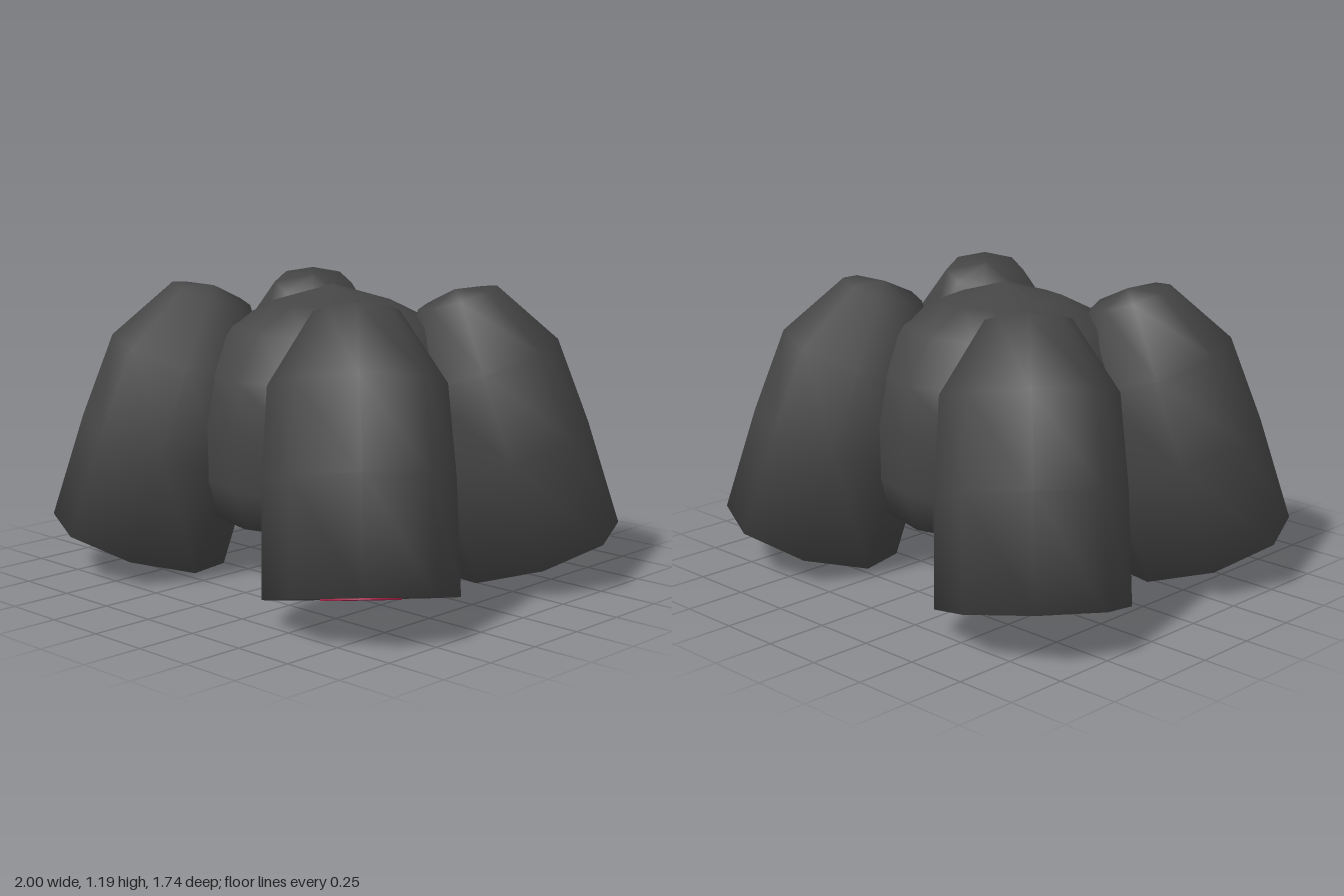
import * as THREE from 'three';

const pts = (list) => list.map(([r, y]) => new THREE.Vector2(r, y));

export function createModel() {
  const group = new THREE.Group();
  const dark = new THREE.MeshStandardMaterial({ color: 0x454545 });
  dark.name = 'charcoal';
  const red = new THREE.MeshStandardMaterial({ color: 0xa8234a });
  red.name = 'crimson';

  // Central drum with a shallow domed top and flat underside
  const body = new THREE.Mesh(new THREE.LatheGeometry(pts([
    [0, 0.26], [0.5, 0.26], [0.55, 0.42], [0.56, 0.65], [0.53, 0.85],
    [0.42, 1.03], [0.24, 1.12], [0, 1.19],
  ]), 12), dark);
  body.name = 'centralBody';
  group.add(body);

  // Eight-sided pod, local origin at the centre of its lower face
  const podGeometry = new THREE.LatheGeometry(pts([
    [0, 0], [0.37, 0], [0.365, 0.44], [0.34, 0.8], [0.165, 1.08], [0, 1.115],
  ]), 8);
  const nozzleGeometry = new THREE.CylinderGeometry(0.155, 0.155, 0.008, 10);
  const up = new THREE.Vector3(0, 1, 0);

  // Four pods leaning in towards the top
  for (const sz of [1, -1]) {
    for (const sx of [1, -1]) {
      const pod = new THREE.Group();
      pod.name = (sz > 0 ? 'front' : 'back') + (sx > 0 ? 'Left' : 'Right') + 'Pod';
      const shell = new THREE.Mesh(podGeometry, dark);
      shell.name = 'podShell';
      const nozzle = new THREE.Mesh(nozzleGeometry, red);
      nozzle.name = 'nozzleDisc';
      nozzle.position.y = -0.002;
      pod.add(shell, nozzle);
      pod.position.set(sx * 0.64, 0.11, sz * 0.51);
      const axis = new THREE.Vector3(-sx * 0.216, 0.956, -sz * 0.2).normalize();
      pod.quaternion.setFromUnitVectors(up, axis);
      group.add(pod);
    }
  }
  return group;
}
